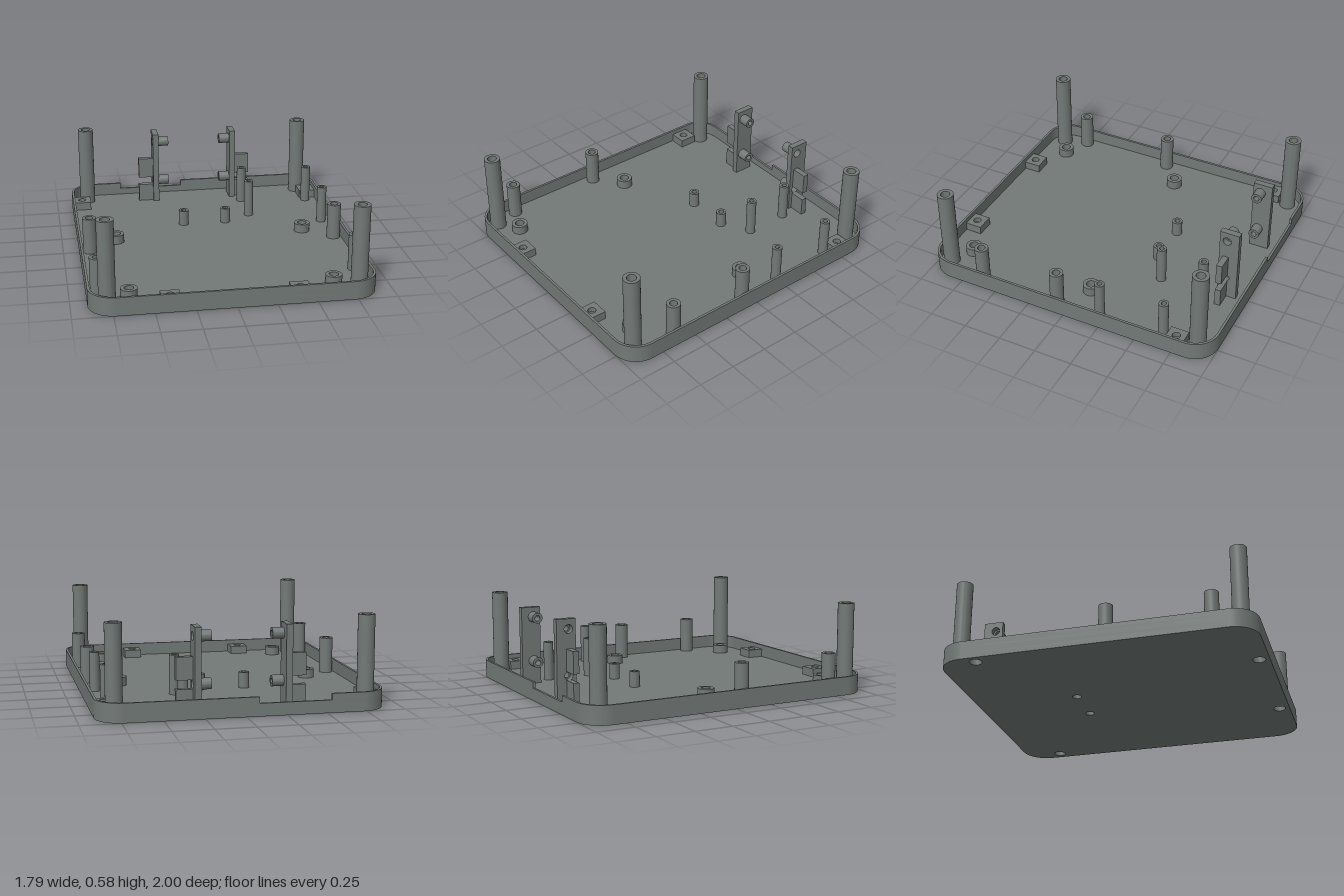
import * as THREE from 'three';
import { toCreasedNormals } from 'three/addons/utils/BufferGeometryUtils.js';

const HX = 0.895, HZ = 1, R = 0.165, WALL = 0.016;
const FLOOR = 0.035, NOTCH = 0.08, RIM = 0.12;
const GAP_LEFT = -0.08, GAP_RIGHT = -0.53;
const material = new THREE.MeshStandardMaterial({ color: 0x727977 });

// Shapes drawn on the ground plane use (x, -z)
function circle(Type, x, y, r) {
  const c = new Type();
  c.absarc(x, y, r, 0, Math.PI * 2, Type === THREE.Path);
  return c;
}

function rect(x0, y0, x1, y1) {
  const s = new THREE.Shape();
  s.moveTo(x0, y0).lineTo(x1, y0).lineTo(x1, y1).lineTo(x0, y1).closePath();
  return s;
}

// Rounded outline, clockwise from xStart on the back edge round to xEnd on it
function traceOutline(path, inset, xStart, xEnd, reverse = false) {
  const cx = HX - R, cz = HZ - R, r = R - inset, q = Math.PI / 2;
  const corners = [[cx, cz, q], [cx, -cz, 0], [-cx, -cz, -q], [-cx, cz, -2 * q]];
  if (reverse) corners.reverse();
  path.lineTo(reverse ? xEnd : xStart, HZ - inset);
  for (const [x, y, a] of corners) {
    if (reverse) path.absarc(x, y, r, a - q, a, false);
    else path.absarc(x, y, r, a, a - q, true);
  }
  path.lineTo(reverse ? xStart : xEnd, HZ - inset);
}

// Closed counter-clockwise outline, so that its holes are wound correctly
function outline(Type, inset) {
  const p = new Type();
  p.moveTo(0, HZ - inset);
  traceOutline(p, inset, 0, 0, true);
  return p;
}

function extrude(shape, depth) {
  return new THREE.ExtrudeGeometry(shape, { depth, bevelEnabled: false, curveSegments: 16 });
}

function add(parent, name, geometry) {
  const mesh = new THREE.Mesh(toCreasedNormals(geometry, 0.6), material);
  mesh.name = name;
  parent.add(mesh);
}

// Upright slab between two heights
function upright(parent, name, shape, y0, y1) {
  add(parent, name, extrude(shape, y1 - y0).rotateX(-Math.PI / 2).translate(0, y0, 0));
}

// Slab along x; its shape is drawn as (-z, y)
function sideways(parent, name, shape, x0, x1) {
  const a = Math.min(x0, x1);
  add(parent, name, extrude(shape, Math.abs(x1 - x0)).rotateY(Math.PI / 2).translate(a, 0, 0));
}

function tube(parent, name, [x, z], r, hole, top) {
  const ring = circle(THREE.Shape, x, -z, r);
  ring.holes.push(circle(THREE.Path, x, -z, hole));
  upright(parent, name, ring, FLOOR - 0.004, top);
}

export function createModel() {
  const model = new THREE.Group();
  model.name = 'enclosureBase';

  const blocks = [[-0.827, -0.757], [0.827, -0.757], [-0.4, 0.933], [0.4, 0.933]];
  const vents = [[-0.147, -0.318], [0.147, -0.318]];

  // Floor with counterbored screw holes
  const floor = outline(THREE.Shape, 0);
  for (const [x, z] of blocks) floor.holes.push(circle(THREE.Path, x, -z, 0.04));
  for (const [x, z] of vents) floor.holes.push(circle(THREE.Path, x, -z, 0.03));
  upright(model, 'floor', floor, 0, FLOOR);

  // Wall, with the upper part open along a stretch of the back
  const lower = outline(THREE.Shape, 0);
  lower.holes.push(outline(THREE.Path, WALL));
  upright(model, 'lowerWall', lower, FLOOR, NOTCH);
  const upper = new THREE.Shape();
  upper.moveTo(GAP_LEFT, HZ);
  traceOutline(upper, 0, GAP_LEFT, GAP_RIGHT);
  traceOutline(upper, WALL, GAP_LEFT, GAP_RIGHT, true);
  upright(model, 'upperWall', upper, NOTCH, RIM);

  // Screw blocks: wide bore below, narrow bore above
  for (const [x, z] of blocks) {
    for (const [bore, y0, y1] of [[0.04, FLOOR, 0.055], [0.026, 0.055, 0.09]]) {
      const block = rect(x - 0.06, -z - 0.06, x + 0.06, -z + 0.06);
      block.holes.push(circle(THREE.Path, x, -z, bore));
      upright(model, 'screwBlock', block, y0, y1);
    }
  }

  // Tall corner posts and short wide bosses
  for (const s of [-1, 1]) {
    for (const z of [-0.88, 0.895]) tube(model, 'cornerPost', [s * 0.779, z], 0.053, 0.03, 0.581);
    for (const z of [-0.071, 0.809]) tube(model, 'shortBoss', [s * 0.64, z], 0.053, 0.03, 0.093);
  }

  // Medium posts along the sides
  for (const p of [[-0.826, 0.075], [0.826, 0.075], [-0.826, 0.73], [0.826, 0.622]])
    tube(model, 'sidePost', p, 0.045, 0.025, 0.275);

  // Thin posts at the back
  for (const p of [[0.333, -0.716], [0.333, -0.424], [0.8, -0.656], [0.814, -0.224]])
    tube(model, 'thinPost', p, 0.032, 0.016, 0.29);

  // Small bosses round the through holes
  for (const p of vents) tube(model, 'holeBoss', p, 0.034, 0.018, 0.138);

  // Pair of mirrored upright brackets
  for (const s of [-1, 1]) {
    const bracket = new THREE.Group();
    bracket.name = s < 0 ? 'rightBracket' : 'leftBracket';
    model.add(bracket);
    const plate = rect(0.802, FLOOR - 0.004, 0.931, 0.541);
    for (const y of [0.184, 0.477]) {
      plate.holes.push(circle(THREE.Path, 0.851, y, 0.028));
      const peg = circle(THREE.Shape, 0.851, y, 0.035);
      peg.holes.push(circle(THREE.Path, 0.851, y, 0.018));
      sideways(bracket, 'peg', peg, s * 0.187, s * 0.26);
    }
    sideways(bracket, 'plate', plate, s * 0.26, s * 0.301);
    for (const [y0, y1] of [[FLOOR - 0.004, 0.157], [0.212, 0.354]])
      sideways(bracket, 'rib', rect(0.828, y0, 0.867, y1), s * 0.301, s * 0.404);
  }
  return model;
}
